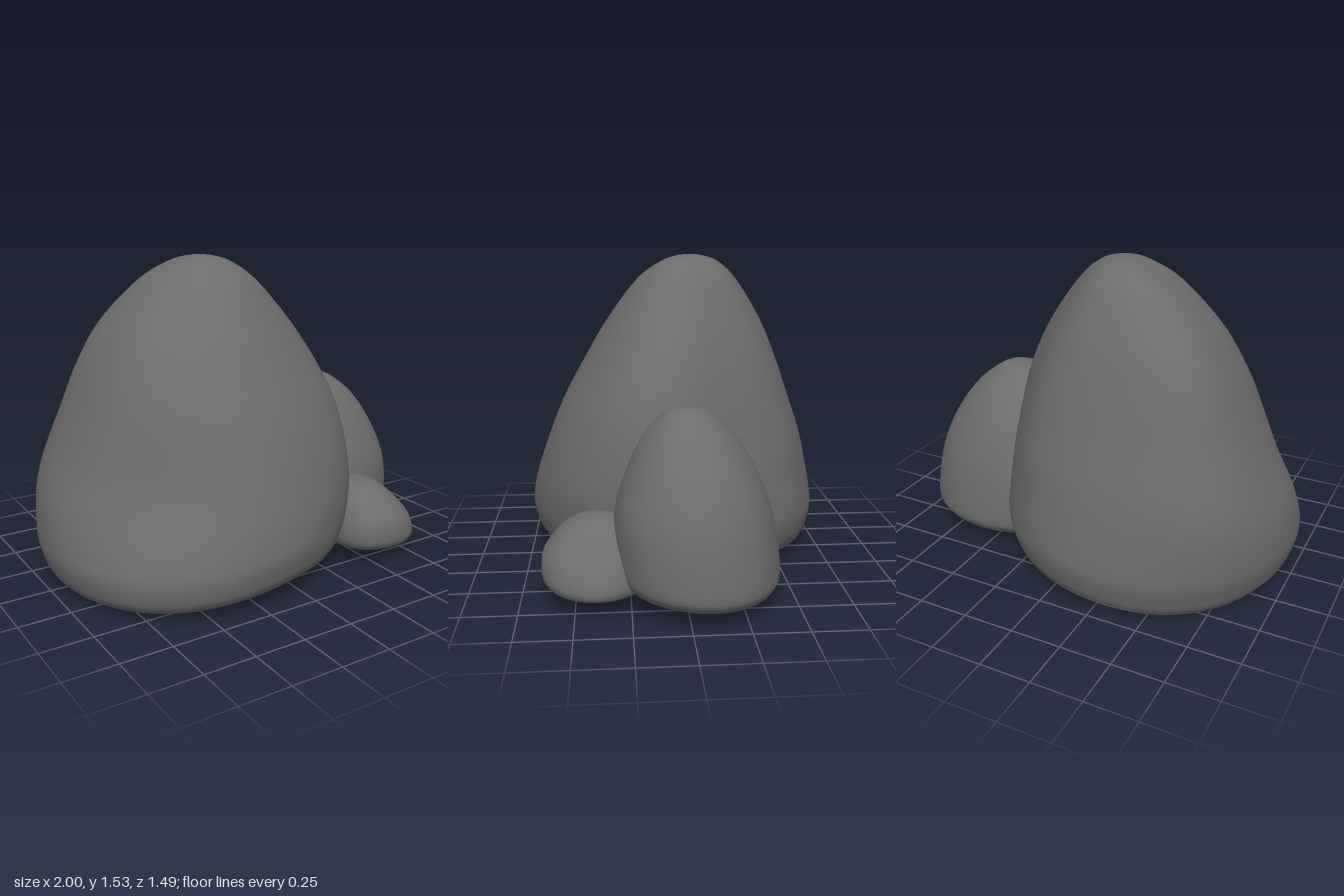
import * as THREE from 'three';
import { mergeVertices } from 'three/addons/utils/BufferGeometryUtils.js';

const SEGMENTS = 64;
const STEPS = 5; // rings between two profile rows
const { smoothstep, degToRad } = THREE.MathUtils;

// Rows run from the underside to the peak: [y, left x, right x, back z, front z]
function boulder(name, rows, material, swell, lift) {
  const spline = (points) => new THREE.CatmullRomCurve3(points, false, 'catmullrom', 0.5);
  const alongX = spline(rows.map(([y, l, r]) => new THREE.Vector3(l, y, r)));
  const alongZ = spline(rows.map(([y, , , b, f]) => new THREE.Vector3(b, y, f)));
  const rings = (rows.length - 1) * STEPS;
  const positions = [];
  const indices = [];
  for (let i = 0; i <= rings; i++) {
    const px = alongX.getPoint(i / rings);
    const pz = alongZ.getPoint(i / rings);
    for (let j = 0; j < SEGMENTS; j++) {
      const angle = (j / SEGMENTS) * Math.PI * 2;
      const s = swell(angle, px.y);
      const x = (px.x + px.z) / 2 + ((px.z - px.x) / 2) * Math.cos(angle) * s;
      const z = (pz.x + pz.z) / 2 + ((pz.z - pz.x) / 2) * Math.sin(angle) * s;
      const fade = 1 - smoothstep(px.y, 0, 0.5);
      positions.push(x, Math.max(0, px.y + lift(x, z) * fade), z);
      if (i < rings) {
        const a = i * SEGMENTS + j;
        const b = i * SEGMENTS + ((j + 1) % SEGMENTS);
        indices.push(a, a + SEGMENTS, b, b, a + SEGMENTS, b + SEGMENTS);
      }
    }
  }
  let geometry = new THREE.BufferGeometry();
  geometry.setAttribute('position', new THREE.Float32BufferAttribute(positions, 3));
  geometry.setIndex(indices);
  geometry = mergeVertices(geometry, 1e-5);
  geometry.computeVertexNormals();
  const mesh = new THREE.Mesh(geometry, material);
  mesh.name = name;
  return mesh;
}

// Smooth bump around one direction, in degrees from +x towards +z
const bump = (angle, centre, power) => Math.max(0, Math.cos(angle - degToRad(centre))) ** power;

export function createModel() {
  const group = new THREE.Group();
  group.name = 'boulders';
  const stone = new THREE.MeshStandardMaterial({ color: 0x6c6c6c });

  // Tall boulder: hollow front-left flank over a flared foot, full back-left
  // shoulder, flattened back-right flank and a tilted underside
  const hollow = (y) => 0.085 * Math.exp(-(((y - 0.53) / 0.3) ** 2)) - 0.04 * (1 - smoothstep(y, 0.1, 0.45));
  group.add(boulder('largeBoulder', [
    [0.005, -0.25, -0.25, 0.0, 0.0],
    [0.005, -0.62, 0.14, -0.4, 0.38],
    [0.01, -0.88, 0.4, -0.66, 0.65],
    [0.045, -0.95, 0.455, -0.71, 0.71],
    [0.12, -0.985, 0.485, -0.735, 0.735],
    [0.22, -1.0, 0.5, -0.745, 0.745],
    [0.4, -0.97, 0.51, -0.715, 0.72],
    [0.6, -0.88, 0.505, -0.665, 0.655],
    [0.8, -0.79, 0.47, -0.595, 0.57],
    [1.0, -0.7, 0.39, -0.525, 0.46],
    [1.2, -0.58, 0.275, -0.44, 0.34],
    [1.4, -0.39, 0.125, -0.315, 0.19],
    [1.49, -0.25, 0.02, -0.22, 0.07],
    [1.52, -0.17, -0.06, -0.14, -0.01],
    [1.527, -0.12, -0.12, -0.075, -0.075],
  ], stone, (angle, y) => 1
    + (0.07 + 0.03 * smoothstep(y, 0.1, 0.5)) * bump(angle, 25, 6)
    - hollow(y) * bump(angle, 135, 6)
    + (0.06 + 0.12 * y) * smoothstep(y, 0.05, 0.6) * bump(angle, 225, 8)
    - 0.1 * smoothstep(y, 0.1, 0.9) * bump(angle, -27, 6),
  (x, z) => 0.06 * smoothstep(x, -0.85, 0.05) + 0.03 * z));

  // Medium boulder on the left side
  group.add(boulder('mediumBoulder', [
    [0.075, 0.53, 0.53, -0.05, -0.05],
    [0.07, 0.3, 0.78, -0.25, 0.15],
    [0.065, 0.17, 0.92, -0.37, 0.25],
    [0.095, 0.12, 0.98, -0.42, 0.295],
    [0.17, 0.1, 0.998, -0.437, 0.32],
    [0.4, 0.15, 0.96, -0.395, 0.32],
    [0.6, 0.21, 0.87, -0.32, 0.26],
    [0.75, 0.29, 0.76, -0.225, 0.185],
    [0.84, 0.4, 0.65, -0.13, 0.105],
    [0.868, 0.46, 0.59, -0.07, 0.05],
    [0.877, 0.52, 0.52, -0.005, -0.005],
  ], stone,
  (angle, y) => 1 + 0.05 * smoothstep(y, 0, 0.4) * bump(angle, 235, 8)
    + 0.03 * bump(angle, 50, 8),
  (x, z) => 0.06 * z + 0.005));

  // Small boulder in front of the gap
  group.add(boulder('smallBoulder', [
    [0.09, 0.58, 0.58, 0.4, 0.4],
    [0.085, 0.44, 0.7, 0.27, 0.53],
    [0.08, 0.37, 0.8, 0.19, 0.61],
    [0.11, 0.345, 0.828, 0.16, 0.645],
    [0.16, 0.338, 0.82, 0.15, 0.653],
    [0.23, 0.35, 0.78, 0.16, 0.64],
    [0.32, 0.39, 0.695, 0.21, 0.57],
    [0.37, 0.445, 0.63, 0.28, 0.495],
    [0.387, 0.5, 0.58, 0.33, 0.43],
    [0.39, 0.54, 0.54, 0.38, 0.38],
  ], stone,
  (angle) => 1 + 0.12 * bump(angle, 135, 8),
  (x) => -0.04 * (x - 0.58)));

  return group;
}
